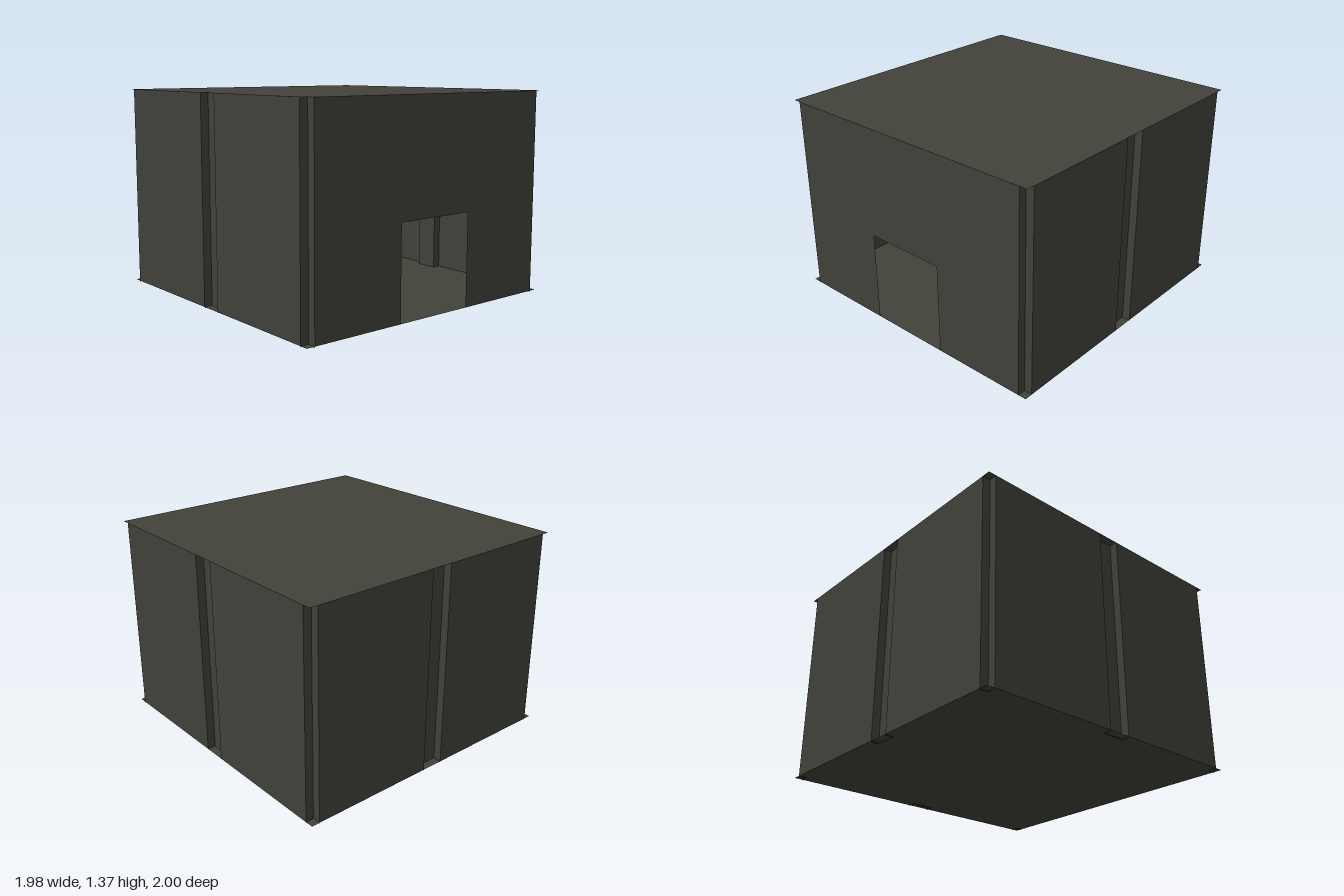
import * as THREE from 'three';

const HALF_X = 0.99, HALF_Z = 1, TOP = 1.365;
const FLOOR = 0.006;      // panels stand on the floor, recesses reach y = 0
const NOTCH = 0.055;      // depth of corner notches and wall recesses
const DOOR_HALF = 0.285, DOOR_TOP = 0.62;

export function createModel() {
  const model = new THREE.Group();
  model.name = 'room';
  const olive = new THREE.MeshStandardMaterial({ color: 0x42423b, side: THREE.DoubleSide });
  olive.name = 'dark olive';

  function add(parent, name, geometry) {
    const mesh = new THREE.Mesh(geometry, olive);
    mesh.name = name;
    parent.add(mesh);
    return mesh;
  }

  // Upright sheet between two plan points [x, z], facing outward
  function sheet(parent, name, a, b, bottom) {
    const dx = b[0] - a[0], dz = b[1] - a[1];
    const wall = add(parent, name, new THREE.PlaneGeometry(Math.hypot(dx, dz), TOP - bottom));
    wall.position.set((a[0] + b[0]) / 2, (TOP + bottom) / 2, (a[1] + b[1]) / 2);
    wall.rotation.y = Math.atan2(-dz, dx);
  }

  function strip(name, points) {
    const group = new THREE.Group();
    group.name = name;
    for (let i = 0; i + 1 < points.length; i++) sheet(group, name + 'Face', points[i], points[i + 1], 0);
    model.add(group);
  }

  // Floor and roof sheets
  for (const [name, y] of [['floor', FLOOR], ['roof', TOP]]) {
    const slab = add(model, name, new THREE.PlaneGeometry(2 * HALF_X, 2 * HALF_Z));
    slab.rotation.x = -Math.PI / 2;
    slab.position.y = y;
  }

  const ex = HALF_X - NOTCH, ez = HALF_Z - NOTCH;

  // Front wall with the doorway cut out
  const front = new THREE.Shape([
    [-ex, FLOOR], [-DOOR_HALF, FLOOR], [-DOOR_HALF, DOOR_TOP], [DOOR_HALF, DOOR_TOP],
    [DOOR_HALF, FLOOR], [ex, FLOOR], [ex, TOP], [-ex, TOP],
  ].map(([x, y]) => new THREE.Vector2(x, y)));
  add(model, 'frontWall', new THREE.ShapeGeometry(front)).position.z = HALF_Z;

  // Back wall: two panels and a central recess
  const bw = 0.075;
  sheet(model, 'backPanel', [ex, -HALF_Z], [bw, -HALF_Z], FLOOR);
  sheet(model, 'backPanel', [-bw, -HALF_Z], [-ex, -HALF_Z], FLOOR);
  strip('backRecess', [[bw, -HALF_Z], [bw, -ez], [-bw, -ez], [-bw, -HALF_Z]]);

  // Side walls: two panels and a recess each
  const z0 = 0.095, z1 = -0.06;
  for (const s of [1, -1]) {
    const x = s * HALF_X, xi = s * ex;
    const order = (pts) => (s > 0 ? pts : pts.reverse());
    sheet(model, 'sidePanel', ...order([[x, ez], [x, z0]]), FLOOR);
    sheet(model, 'sidePanel', ...order([[x, z1], [x, -ez]]), FLOOR);
    strip('sideRecess', order([[x, z0], [xi, z0], [xi, z1], [x, z1]]));

    // Square notches at the front and back corners
    strip('frontCorner', order([[xi, HALF_Z], [xi, ez], [x, ez]]));
    strip('backCorner', order([[x, -ez], [xi, -ez], [xi, -HALF_Z]]));
  }
  return model;
}
